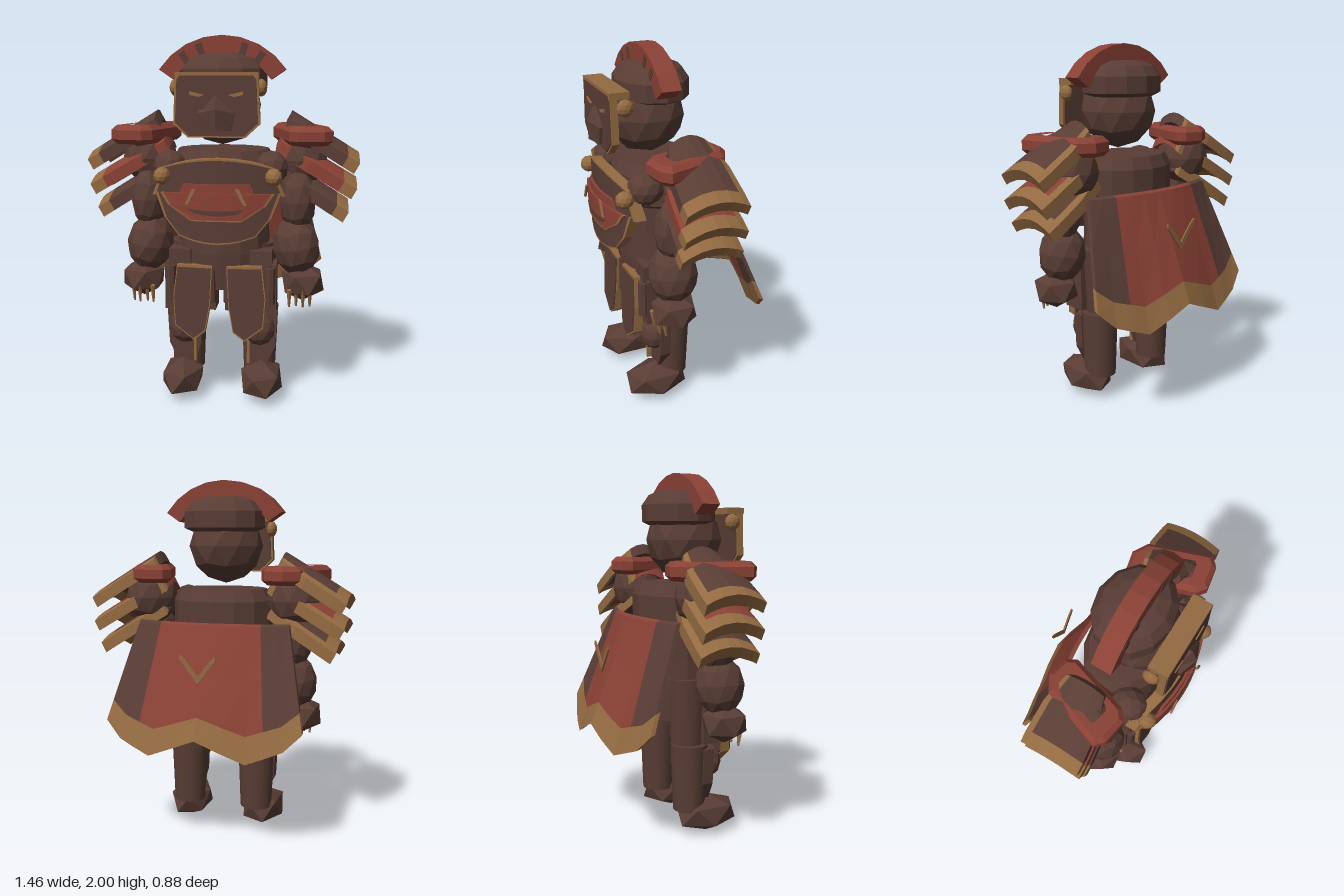
import * as THREE from 'three';

const named = (name, color) => {
  const m = new THREE.MeshStandardMaterial({ color });
  m.name = name;
  return m;
};

export function createModel() {
  const model = new THREE.Group();
  model.name = 'armouredWarrior';
  const brown = named('darkLeather', 0x593d35);
  const red = named('redCloth', 0x8a4135);
  const gold = named('bronze', 0x936a41);
  const palette = [brown, red, gold];

  // faceted copy with one normal per face, unless the part is smooth
  const facet = (geo, smooth) => {
    const g = geo.index ? geo.toNonIndexed() : geo;
    if (!smooth) g.computeVertexNormals();
    return g;
  };
  const add = (name, geo, mat, smooth = false) => {
    const mesh = new THREE.Mesh(facet(geo, smooth), mat);
    mesh.name = name;
    model.add(mesh);
  };
  // left part plus a mirrored right part
  const pair = (name, geo, mat, smooth = false) => {
    const left = facet(geo, smooth);
    const right = left.clone();
    for (const a of [right.attributes.position, right.attributes.normal])
      for (let i = 0; i < a.count; i += 3) {
        const v = [0, 2, 1].map((k) => new THREE.Vector3().fromBufferAttribute(a, i + k));
        v.forEach((q, k) => a.setXYZ(i + k, -q.x, q.y, q.z));
      }
    add(name + 'Left', left, mat, smooth);
    add(name + 'Right', right, mat, smooth);
  };

  const ball = (x, y, z, rx, ry, rz, detail = 1) =>
    new THREE.IcosahedronGeometry(1, detail).rotateZ(0.5536).scale(rx, ry, rz).translate(x, y, z);
  const box = (x, y, z, w, h, d) => new THREE.BoxGeometry(w, h, d).translate(x, y, z);
  const lathe = (pts, sides, z, depth) =>
    new THREE.LatheGeometry(pts.map((p) => new THREE.Vector2(...p)), sides).scale(1, 1, depth).translate(0, 0, z);
  const outline = (pts) => new THREE.Shape(pts.map((p) => new THREE.Vector2(...p)));
  const plate = (pts, z, depth) =>
    new THREE.ExtrudeGeometry(outline(pts), { depth, bevelEnabled: false }).translate(0, 0, z);
  const both = (half) => [...half, ...half.slice().reverse().map(([x, y]) => [-x, y])];
  const grow = (pts, k) => {
    const cx = pts.reduce((s, p) => s + p[0], 0) / pts.length;
    const cy = pts.reduce((s, p) => s + p[1], 0) / pts.length;
    return pts.map(([x, y]) => [cx + (x - cx) * k, cy + (y - cy) * k]);
  };
  const steps = (a, b, n) => Array.from({ length: n + 1 }, (_, i) => a + ((b - a) * i) / n);

  // solid curved sheet: outer face pos(u, v), thickness vector d, palette index per cell
  const sheet = (us, vs, pos, d, pick = () => 0) => {
    const parts = [[], [], []];
    const nu = us.length - 1, nv = vs.length - 1;
    const P = (i, j, k) => pos(us[i], vs[j]).map((c, n) => c - k * d[n]);
    const V = (i, j) => new THREE.Vector3(...P(i, j, 0));
    const o = V(0, 0);
    const flip = V(1, 0).sub(o).cross(V(0, 1).sub(o)).dot(new THREE.Vector3(...d)) < 0;
    for (let i = 0; i < nu; i++) for (let j = 0; j < nv; j++) {
      const out = parts[pick((us[i] + us[i + 1]) / 2, (vs[j] + vs[j + 1]) / 2)];
      const quad = (a, b, c, e) => out.push(...(flip ? [a, c, b, a, e, c] : [a, b, c, a, c, e]).flat());
      const t = [P(i, j, 0), P(i + 1, j, 0), P(i + 1, j + 1, 0), P(i, j + 1, 0)];
      const b = [P(i, j, 1), P(i + 1, j, 1), P(i + 1, j + 1, 1), P(i, j + 1, 1)];
      quad(...t);
      quad(b[3], b[2], b[1], b[0]);
      if (j === 0) quad(t[0], b[0], b[1], t[1]);
      if (j === nv - 1) quad(t[2], b[2], b[3], t[3]);
      if (i === 0) quad(t[0], t[3], b[3], b[0]);
      if (i === nu - 1) quad(t[1], b[1], b[2], t[2]);
    }
    const g = new THREE.BufferGeometry();
    g.setAttribute('position', new THREE.Float32BufferAttribute(parts.flat(), 3));
    let start = 0;
    parts.forEach((p, m) => {
      if (p.length) g.addGroup(start, p.length / 3, m);
      start += p.length / 3;
    });
    return g;
  };

  // head, helmet and crest
  add('head', ball(0, 1.64, 0.125, 0.21, 0.21, 0.215), brown);
  add('helmetCap', lathe([[0, 1.72], [0.19, 1.72], [0.235, 1.74], [0.235, 1.83], [0.19, 1.885], [0.12, 1.91], [0, 1.915]], 12, 0.09, 0.83), brown);
  const arc = (z) => (a, r) => [r * Math.sin(a), 1.595 + r * Math.cos(a), z];
  add('crest', sheet(steps(-0.97, 0.97, 8), [0.315, 0.407], arc(0.165), [0, 0, 0.105], () => 1), palette);
  for (const a of [-0.6, -0.33, 0.33, 0.6])
    add('crestStripe', sheet([a - 0.05, a + 0.05], [0.315, 0.385], arc(0.168), [0, 0, 0.004]), palette);

  // face mask
  const face = both([[0.185, 1.795], [0.2, 1.775], [0.21, 1.56], [0.14, 1.495]]);
  add('maskRim', plate(grow(face, 1.05), 0.345, 0.038), gold);
  add('mask', plate(face, 0.34, 0.048), brown);
  add('browBar', box(0, 1.795, 0.335, 0.42, 0.035, 0.105), gold);
  add('muzzle', sheet([-1, 0, 1], [0, 1, 2],
    (u, v) => {
      const a = Math.abs(u);
      return [u * [0.08, 0.095, 0.075][v], [1.7, 1.63, 1.53][v] - a * [0.07, 0.02, 0.01][v], [0.41, 0.44, 0.435][v] - 0.035 * a];
    }, [0, 0, 0.04]), palette);
  pair('eyeSlit', plate([[0.06, 1.7], [0.135, 1.718], [0.135, 1.7], [0.09, 1.69]], 0.388, 0.006), gold);
  pair('earBoss', ball(0.22, 1.735, 0.31, 0.03, 0.045, 0.045), gold);

  // torso and collar
  add('torso', lathe([[0, 0.65], [0.24, 0.65], [0.26, 0.85], [0.255, 1.0], [0.26, 1.18], [0.285, 1.2], [0.285, 1.34], [0.25, 1.405], [0, 1.405]], 14, 0.07, 0.8), brown);
  pair('pectoral', ball(0.27, 1.32, 0.23, 0.09, 0.09, 0.1), brown);

  // layered breastplate
  const chest = (rows, zc, bend) => (u, v) => {
    const k = Math.min(Math.floor(v), rows.length - 2), t = v - k;
    const mix = (n) => rows[k][n] * (1 - t) + rows[k + 1][n] * t;
    const x = u * mix(0);
    return [x, mix(1) + mix(2) * (1 - u * u), zc - bend * x * x];
  };
  const us = [-1, -0.95, -0.6, -0.3, 0, 0.3, 0.6, 0.95, 1];
  add('upperBreastplate', sheet(us, [0, 0.12, 1, 2],
    chest([[0.29, 1.33, 0.05], [0.31, 1.27, 0.03], [0.35, 1.18, 0.0]], 0.39, 0.6), [0, 0, 0.06],
    (u, v) => (Math.abs(u) > 0.95 || v < 0.12 ? 2 : 0)), palette);
  add('lowerBreastplate', sheet(us, [0, 1, 1.9, 2],
    chest([[0.33, 1.2, -0.02], [0.28, 1.07, -0.05], [0.2, 0.975, -0.04]], 0.4, 0.6), [0, 0, 0.05],
    (u, v) => (Math.abs(u) > 0.95 || v > 1.9 ? 2 : 0)), palette);
  add('redSash', sheet(us, [0, 1, 1.92, 2],
    chest([[0.295, 1.2, 0.005], [0.255, 1.14, 0], [0.13, 1.06, 0]], 0.418, 0.6), [0, 0, 0.02],
    (u, v) => (v > 1.92 || Math.abs(u) > 0.95 ? 2 : 1)), palette);
  add('redChestPanel', sheet(us, [0, 1], chest([[0.175, 1.25, 0], [0.2, 1.19, 0]], 0.405, 0.6), [0, 0, 0.02], () => 1), palette);
  add('sashInset', sheet(us, [0, 1], chest([[0.15, 1.125, -0.01], [0.11, 1.1, -0.01]], 0.424, 0.6), [0, 0, 0.006]), palette);
  pair('sashBuckle', plate([[0.1, 1.23], [0.12, 1.23], [0.16, 1.15], [0.14, 1.15]], 0.42, 0.009), gold);
  pair('chestStud', ball(0.29, 1.285, 0.35, 0.045, 0.047, 0.05), gold);

  // arms, hands and claws
  pair('shoulder', ball(0.42, 1.35, 0.03, 0.15, 0.16, 0.16), brown);
  pair('upperArm', ball(0.41, 1.13, 0.12, 0.1, 0.18, 0.12), brown);
  pair('forearm', ball(0, 0, 0, 0.13, 0.165, 0.135).rotateZ(0.15).translate(0.405, 0.88, 0.135), brown);
  pair('hand', ball(0.445, 0.685, 0.145, 0.13, 0.11, 0.135, 0), brown);
  for (let i = 0; i < 4; i++)
    pair('claw', new THREE.CylinderGeometry(0.014, 0.006, 0.1, 5).rotateX(0.15)
      .translate(0.375 + i * 0.037, 0.61, 0.235 - (i % 2) * 0.02), gold);

  // shoulder ring with its dome, and overlapping lames
  const ring = [[0.3, 0.12], [0.39, 0.14], [0.46, 0.1], [0.57, -0.22], [0.54, -0.25], [0.42, -0.27], [0.38, -0.24], [0.28, 0.08]];
  const ringShape = outline(grow(ring, 0.94));
  ringShape.holes.push(new THREE.Path(grow(ring, 0.58).map((p) => new THREE.Vector2(...p))));
  pair('shoulderRing', new THREE.ExtrudeGeometry(ringShape, { depth: 0.05, bevelSize: 0.025, bevelThickness: 0.025, bevelSegments: 1 })
    .rotateX(-Math.PI / 2).translate(0, 1.46, 0), red);
  pair('shoulderDome', ball(0, 0, 0, 0.085, 0.075, 0.18).rotateY(0.3).translate(0.425, 1.475, 0.06), brown);
  const lames = [[0.37, 1.61, 0.73, 1.39, 0], [0.32, 1.49, 0.72, 1.255, 1], [0.32, 1.355, 0.68, 1.13, 0]];
  for (const [x0, y0, x1, y1, tone] of lames)
    pair('shoulderLame', sheet([0, 0.4, 0.83, 1], [-1, -0.78, -0.4, 0, 0.4, 0.8, 1],
      (u, v) => [x0 + (x1 - x0) * u, y0 + (y1 - y0) * u - 0.045 * v * v, 0.04 + 0.165 * v * (0.65 + 0.35 * Math.min(1, u * 2))],
      [0.03, 0.055, 0], (u, v) => (u > 0.83 || v < -0.78 ? 2 : tone)), palette);

  // cape with a pointed bronze hem
  const hemPts = [[0, 0.64], [0.27, 0.53], [0.46, 0.6], [0.551, 0.69]];
  const hem = (x) => {
    const k = hemPts.findIndex((p) => p[0] > x);
    const [a, b] = [hemPts[k - 1], hemPts[k]];
    return a[1] + ((b[1] - a[1]) * (x - a[0])) / (b[0] - a[0]);
  };
  add('cape', sheet([-1, -0.83, -0.66, -0.49, -0.25, 0, 0.25, 0.49, 0.66, 0.83, 1], [0, 0.4, 0.8, 1], (u, v) => {
    const a = 1 - v;
    return [u * (0.43 * a + 0.55 * v), 1.22 * a + hem(Math.abs(u) * 0.55) * v,
      (-0.21 + 0.075 * u * u) * a + (-0.445 + 0.11 * u * u) * v];
  }, [0, -0.01, -0.025], (u, v) => (v > 0.8 ? 2 : Math.abs(u) > 0.66 ? 0 : 1)), palette);
  add('capeClasp', plate([[0, 0.93], [0.1, 1.06], [0.1, 1.085], [0.07, 1.06], [0, 0.97], [-0.07, 1.06], [-0.1, 1.085], [-0.1, 1.06]], -0.378, 0.009), gold);

  // belt, pouches and thigh guards
  pair('hipBlock', box(0.22, 0.82, 0.13, 0.12, 0.1, 0.24), brown);
  pair('thighFlap', box(0.165, 0.66, 0.17, 0.28, 0.26, 0.14), brown);
  for (const x of [0.05, 0.27])
    pair('beltRoll', new THREE.CylinderGeometry(0.03, 0.03, 0.2, 8).translate(x, 0.68, 0.25), brown);
  const tasset = [[0.225, 0.77], [0.045, 0.765], [0.055, 0.56], [0.08, 0.42], [0.14, 0.375], [0.235, 0.45], [0.245, 0.6]];
  pair('tassetRim', plate(grow(tasset, 1.06), 0.245, 0.052).rotateX(-0.04).translate(0, 0, 0.02), gold);
  pair('tasset', plate(tasset, 0.24, 0.065).rotateX(-0.04).translate(0, 0, 0.02), brown);

  // legs and feet
  pair('thigh', new THREE.CylinderGeometry(0.115, 0.09, 0.42, 20).translate(0.18, 0.68, 0.06), brown, true);
  pair('shin', new THREE.CylinderGeometry(0.105, 0.09, 0.38, 20).translate(0.205, 0.33, 0.06), brown, true);
  pair('knee', ball(0.21, 0.41, 0.17, 0.09, 0.1, 0.075), brown);
  pair('shinGuard', plate([[0.11, 0.5], [0.31, 0.5], [0.3, 0.3], [0.25, 0.2], [0.15, 0.2], [0.12, 0.3]], 0.1, 0.06), brown);
  pair('shinTrim', box(0.15, 0.29, 0.172, 0.015, 0.17, 0.03), gold);
  pair('foot', ball(0.225, 0.11, 0.16, 0.13, 0.11, 0.2, 0), brown);

  return model;
}
